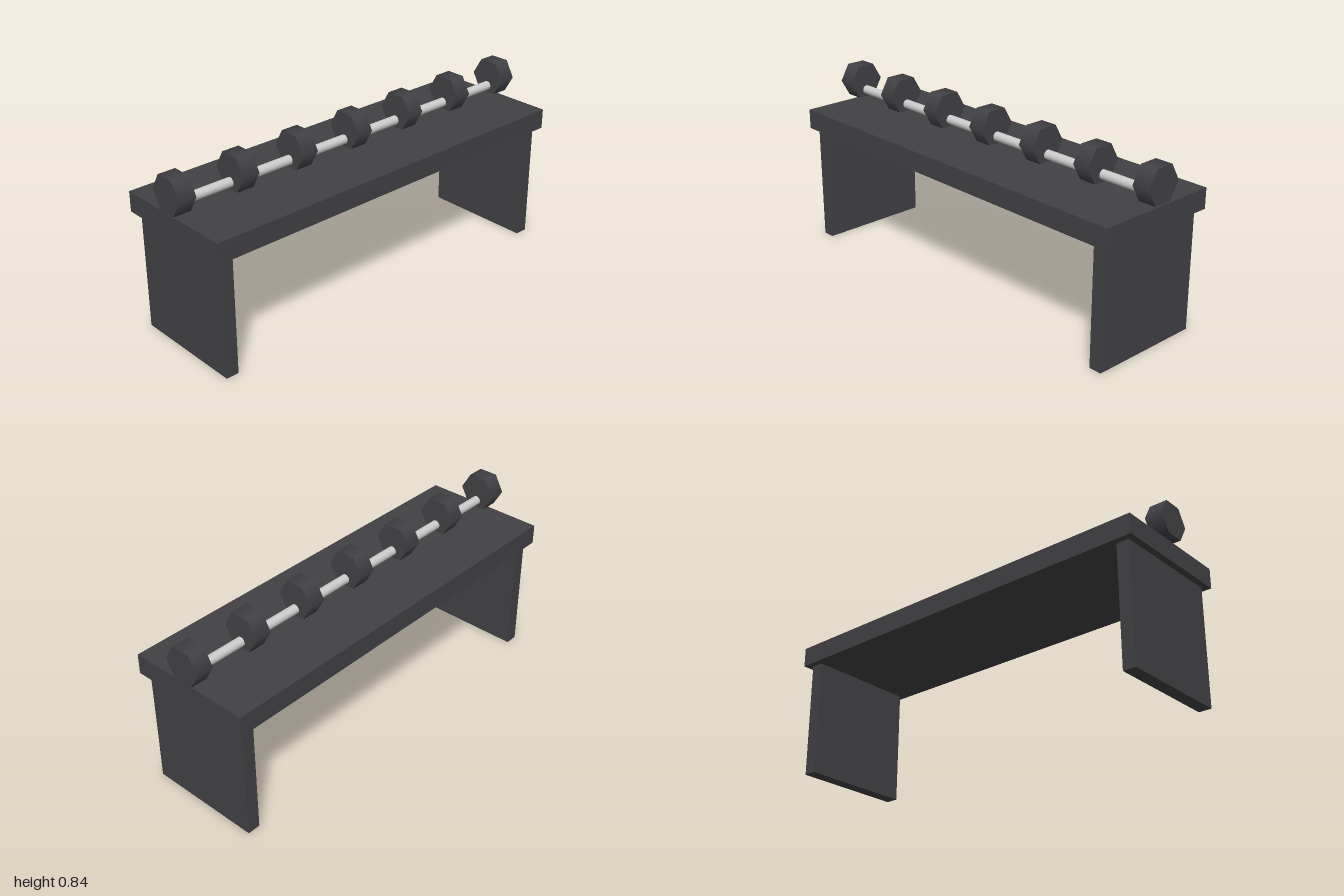
import * as THREE from 'three';

export function createModel() {
  const model = new THREE.Group();
  const dark = new THREE.MeshStandardMaterial({ color: 0x424145 });
  const grey = new THREE.MeshStandardMaterial({ color: 0xcccccc });

  function add(name, geometry, material, x, y) {
    const mesh = new THREE.Mesh(geometry, material);
    mesh.name = name;
    mesh.position.set(x, y, 0);
    model.add(mesh);
  }

  // Bench top resting on two slab legs
  add('benchTop', new THREE.BoxGeometry(1.962, 0.096, 0.612), dark, 0, 0.615);
  const legGeometry = new THREE.BoxGeometry(0.061, 0.567, 0.55);
  add('leftLeg', legGeometry, dark, 0.92, 0.2835);
  add('rightLeg', legGeometry, dark, -0.92, 0.2835);

  // Row of hexagonal weights, joined by round bars set below their centres
  const pitch = 0.3193;
  const weightGeometry = new THREE.CylinderGeometry(0.0915, 0.0915, 0.084, 6).rotateZ(Math.PI / 2);
  const barGeometry = new THREE.CylinderGeometry(0.022, 0.022, pitch - 0.08, 20).rotateZ(Math.PI / 2);
  for (let i = -3; i <= 3; i++) {
    add('hexWeight', weightGeometry, dark, i * pitch, 0.762);
    if (i < 3) add('bar', barGeometry, grey, (i + 0.5) * pitch, 0.717);
  }
  return model;
}
